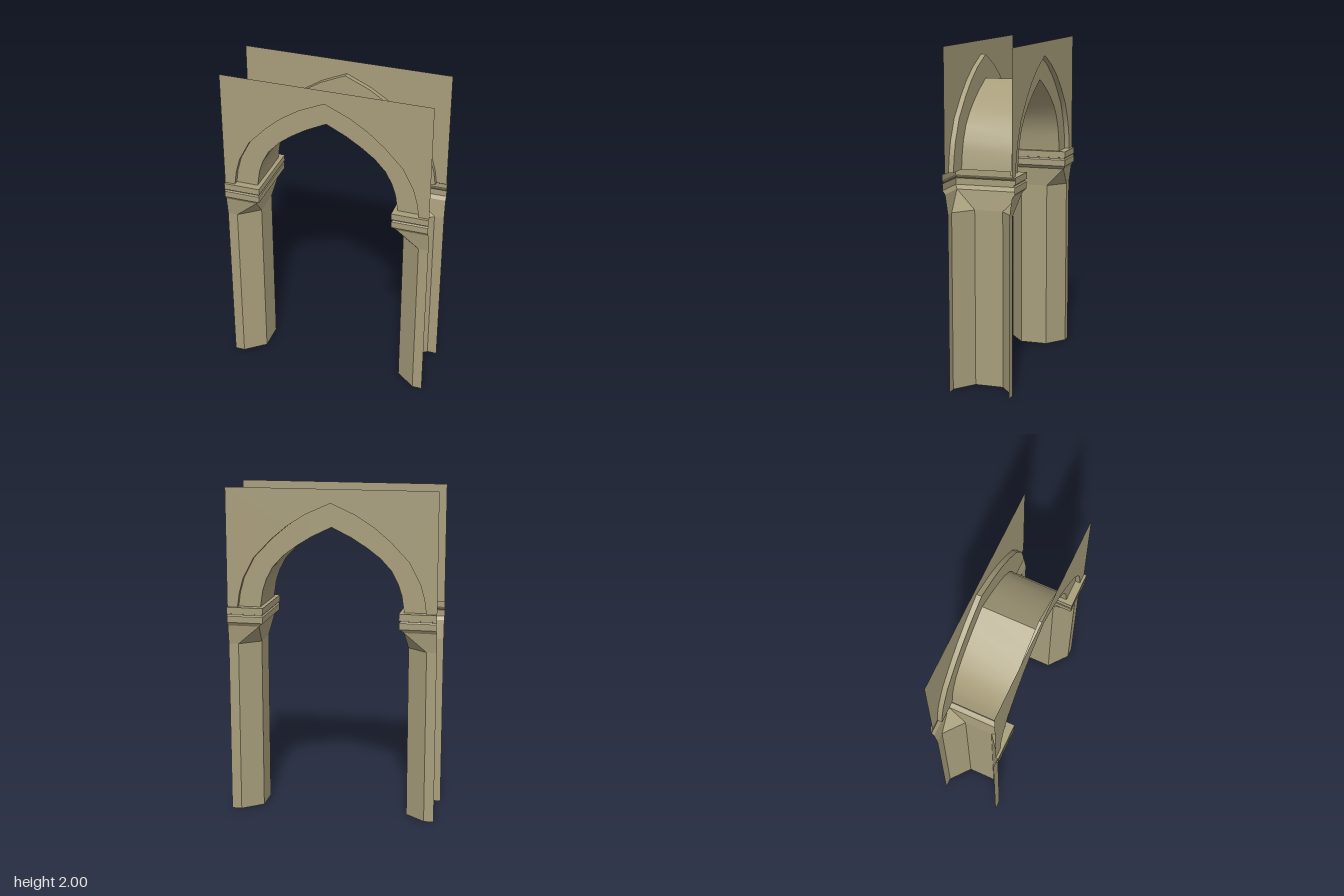
import * as THREE from 'three';

const stone = new THREE.MeshStandardMaterial({ color: 0xa89e7c, side: THREE.DoubleSide });
stone.name = 'sandstone';

// Main measures
const HALF_W = 0.63, TOP = 2, SPRING = 1.285, WALL_Z = 0.2, RING_Z = 0.17;

// Right half of each arch curve, springing to apex
const outerHalf = [[0.567, SPRING], [0.555, 1.37], [0.53, 1.46], [0.465, 1.585], [0.355, 1.7],
  [0.26, 1.78], [0.15, 1.85], [0, 1.917]];
const innerHalf = [[0.433, SPRING], [0.418, 1.385], [0.395, 1.455], [0.355, 1.53], [0.29, 1.6],
  [0.21, 1.66], [0.12, 1.716], [0, 1.775]];

// Skin between rows of points; flat facets unless smooth
function loft(name, rows, smooth = false) {
  const n = rows[0].length, index = [];
  for (let r = 0; r < rows.length - 1; r++) {
    for (let i = 0; i < n - 1; i++) {
      const a = r * n + i, b = a + 1, c = a + n, d = c + 1;
      index.push(a, c, d, a, d, b);
    }
  }
  let geo = new THREE.BufferGeometry();
  geo.setAttribute('position', new THREE.Float32BufferAttribute(rows.flat(2), 3));
  geo.setIndex(index);
  if (!smooth) geo = geo.toNonIndexed();
  geo.computeVertexNormals();
  const mesh = new THREE.Mesh(geo, stone);
  mesh.name = name;
  return mesh;
}

// Full left-to-right curve from its right half
const fullCurve = (half) => [...half.map(([x, y]) => [-x, y]), ...half.slice(0, -1).reverse()];

function flatPanel(name, points, z) {
  const shape = new THREE.Shape(points.map(([x, y]) => new THREE.Vector2(x, y)));
  const mesh = new THREE.Mesh(new THREE.ShapeGeometry(shape), stone);
  mesh.position.z = z;
  mesh.name = name;
  return mesh;
}

// Wall panel and the recessed ring around the opening
function createFace() {
  const face = new THREE.Group();
  const outer = fullCurve(outerHalf), inner = fullCurve(innerHalf);
  face.add(flatPanel('wallPanel', [[-HALF_W, TOP], [-HALF_W, SPRING], ...outer,
    [HALF_W, SPRING], [HALF_W, TOP]], WALL_Z));
  face.add(flatPanel('archRing', [...outer, ...inner.reverse()], RING_Z));
  return face;
}

// Pier, capital and half of the arch on the +x side
function createSide() {
  const side = new THREE.Group();

  // Chamfered shaft, flaring to a square corner under the capital
  const section = (y) => [[HALF_W, y, 0.182], [0.57, y, 0.182], [0.45, y, 0.085],
    [0.45, y, -0.085], [0.57, y, -0.182], [HALF_W, y, -0.182]];
  const corner = [[HALF_W, 1.17, 0.198], [0.437, 1.17, 0.198], [0.437, 1.17, 0.198],
    [0.437, 1.17, -0.198], [0.437, 1.17, -0.198], [HALF_W, 1.17, -0.198]];
  side.add(loft('pierShaft', [section(0), section(1.055), corner]));

  // Capital mouldings: inner x, height, outer z
  const profile = [[0.437, 1.17, 0.198], [0.428, 1.178, 0.204], [0.41, 1.192, 0.214],
    [0.41, 1.23, 0.214], [0.417, 1.238, 0.208], [0.417, 1.244, 0.208], [0.408, 1.246, 0.216],
    [0.408, SPRING, 0.216], [0.433, SPRING, 0.198]];
  side.add(loft('capital', profile.map(([x, y, z]) =>
    [[HALF_W, y, z], [x, y, z], [x, y, -z], [HALF_W, y, -z]])));

  // Underside of the arch
  const curveAt = (half, z) => half.map(([x, y]) => [x, y, z]);
  side.add(loft('archSoffit', [curveAt(innerHalf, -RING_Z), curveAt(innerHalf, RING_Z)], true));

  for (const [z0, z1, label] of [[RING_Z, WALL_Z, 'front'], [-WALL_Z, -RING_Z, 'back']]) {
    // Step from wall to ring, and the small ledge below it
    side.add(loft(label + 'RingStep', [curveAt(outerHalf, z0), curveAt(outerHalf, z1)], true));
    side.add(loft(label + 'RingLedge', [
      [[0.567, SPRING, z1], [0.433, SPRING, z1]],
      [[0.567, SPRING, z0], [0.433, SPRING, z0]]]));
  }
  return side;
}

export function createModel() {
  const model = new THREE.Group();
  model.name = 'pointedArchway';
  ['front', 'back'].forEach((label, i) => {
    const face = createFace();
    face.name = label + 'Face';
    face.rotation.y = i * Math.PI;
    model.add(face);
  });
  ['left', 'right'].forEach((label, i) => {
    const side = createSide();
    side.name = label + 'Side';
    side.rotation.y = i * Math.PI;
    model.add(side);
  });
  return model;
}
